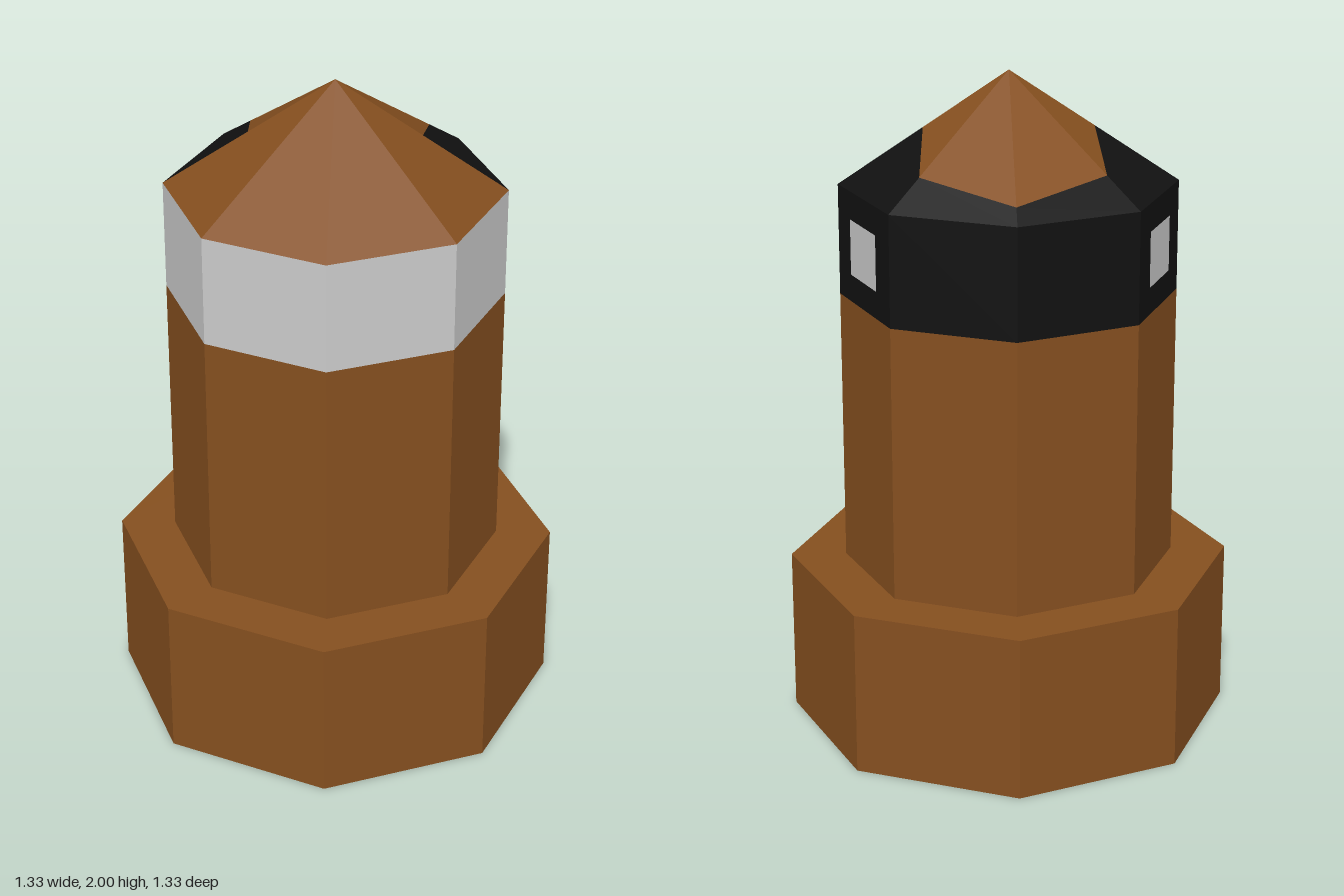
import * as THREE from 'three';

const SIDES = 8;
const R = 0.5;          // tower radius
const BASE_R = 2 / 3;   // foot radius
const BAND_LOW = 4 / 3;
const BAND_HIGH = 5 / 3;

const material = (color) =>
  new THREE.MeshStandardMaterial({ color, flatShading: true, side: THREE.DoubleSide });

export function createModel() {
  const group = new THREE.Group();
  const brown = material(0x854f1f);
  const black = material(0x111111);
  const grey = material(0xcccccc);

  const add = (name, geometry, mat) => {
    const mesh = new THREE.Mesh(geometry, mat);
    mesh.name = name;
    group.add(mesh);
    return mesh;
  };

  // Eight-sided surface from a [radius, height] profile; start and length in eighths of a turn
  const turned = (profile, start = 0, count = SIDES) =>
    new THREE.LatheGeometry(
      profile.map(([r, y]) => new THREE.Vector2(r, y)),
      count, start * Math.PI / 4, count * Math.PI / 4);

  // Rear roof strip lying on the roof slope between two uneven rings of radii
  const roofStrip = (outer, inner) => {
    const geometry = turned([[1, 0], [0.5, 0]], 2, 4);
    const pos = geometry.attributes.position;
    for (let i = 0; i < pos.count; i++) {
      const step = Math.floor(i / 2);
      const r = (i % 2 ? inner : outer)[step];
      const a = (step + 2) * Math.PI / 4;
      pos.setXYZ(i, r * Math.sin(a), 2 - r * 2 / 3, r * Math.cos(a));
    }
    geometry.computeVertexNormals();
    return geometry;
  };

  // Foot with hollowed underside, ledge and shaft
  add('body', turned([[1 / 3, 1 / 6], [BASE_R, 0], [BASE_R, 0.5], [R, 0.5], [R, BAND_LOW]]), brown);
  add('undersideOpening', turned([[0, 1 / 6], [1 / 3, 1 / 6]]), black);

  // Band: grey in front, black behind
  const band = [[R, BAND_LOW], [R, BAND_HIGH]];
  add('frontBand', turned(band, -2, 4), grey);
  add('backBand', turned(band, 2, 4), black);

  // Roof: plain front half, rear half with a black border around the cap
  const rim = [R, R, R, R, R];
  const capEdge = [0.25, 0.375, 0.44, 0.375, 0.25];
  add('frontRoof', turned([[R, BAND_HIGH], [0, 2]], -2, 4), brown);
  add('backRoofBorder', roofStrip(rim, capEdge), black);
  add('backRoofCap', roofStrip(capEdge, [0, 0, 0, 0, 0]), brown);

  // Window centred on the rear side facet of each side
  const facet = 2 * R * Math.sin(Math.PI / 8);
  const apothem = R * Math.cos(Math.PI / 8) + 0.002;
  for (const side of [1, -1]) {
    const a = side * Math.PI * 5 / 8;
    const pane = add(side > 0 ? 'leftWindow' : 'rightWindow',
      new THREE.PlaneGeometry(facet / 2, 1 / 6), grey);
    pane.position.set(apothem * Math.sin(a), 1.5, apothem * Math.cos(a));
    pane.rotation.y = a;
  }

  return group;
}
